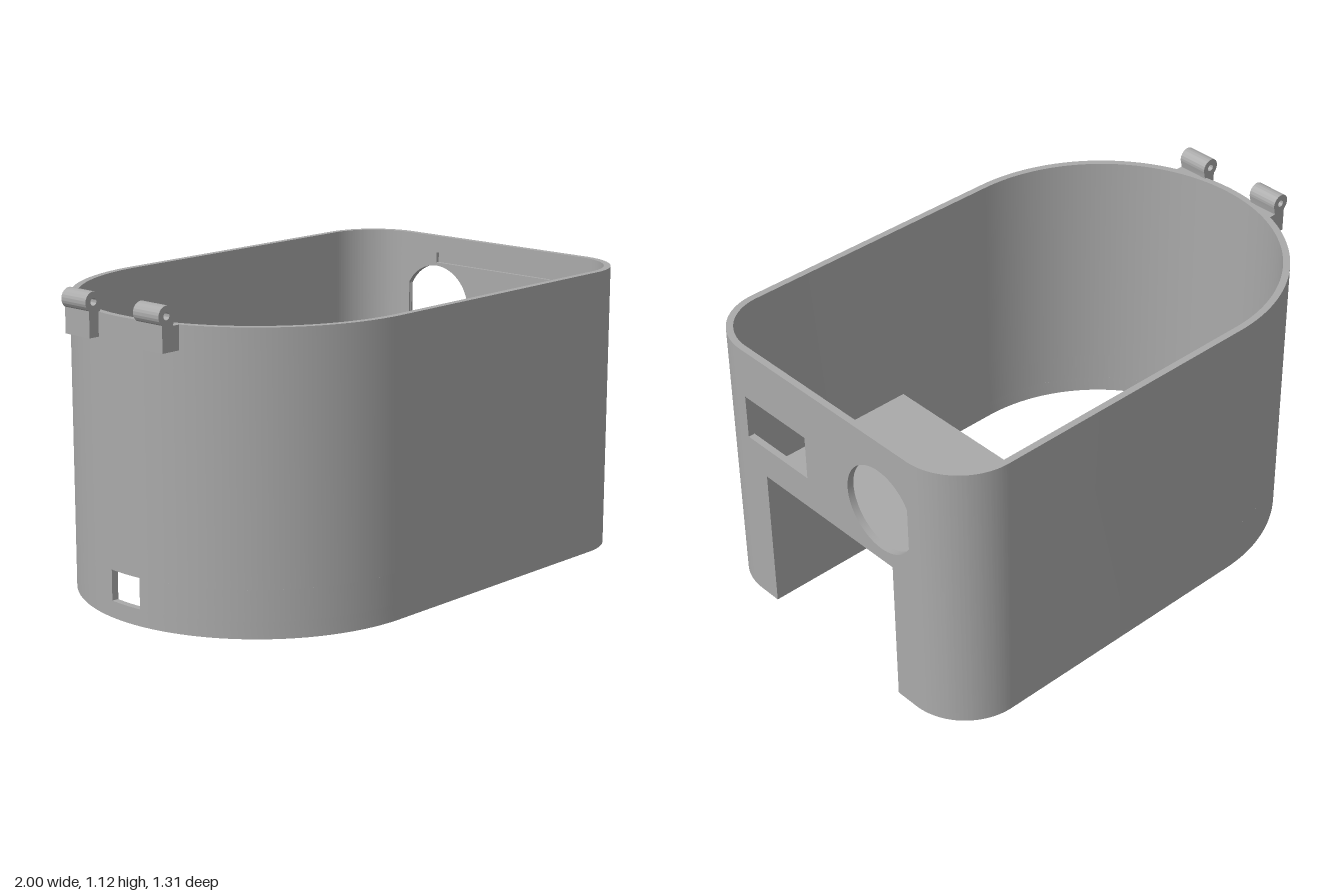
import * as THREE from 'three';
import { mergeGeometries, toCreasedNormals } from 'three/addons/utils/BufferGeometryUtils.js';

const PI = Math.PI;
const HEIGHT = 1.05, WALL = 0.025;
const CORNER = { x: 0.77, z: 0.425, r: 0.23 };
const END = { x: -0.3, r: 0.655 };
const WINDOW = { y0: 0.06, y1: 0.17, angle: 0.105 };

const grey = new THREE.MeshStandardMaterial({ color: 0xaaaaaa });
grey.name = 'grey plastic';

function part(name, geometry) {
  const mesh = new THREE.Mesh(geometry, grey);
  mesh.name = name;
  return mesh;
}

function rectPath(x0, y0, x1, y1, Type = THREE.Path) {
  const p = new Type();
  p.moveTo(x0, y0).lineTo(x1, y0).lineTo(x1, y1).lineTo(x0, y1).closePath();
  return p;
}

function extrude(shape, depth) {
  return new THREE.ExtrudeGeometry(shape, { depth, bevelEnabled: false, curveSegments: 48 });
}

// Plan of the curved wall: round corner, straight side, large rounded end
function wallPlan(endAngle, withSecondSide) {
  const s = new THREE.Shape();
  const { x, z, r } = CORNER;
  s.moveTo(x + r, z);
  s.absarc(x, z, r, 0, PI / 2, false);
  s.absarc(END.x, 0, END.r, PI / 2, endAngle, false);
  if (withSecondSide) {
    s.absarc(x, -z, r, -PI / 2, 0, false);
    s.absarc(x, -z, r - WALL, 0, -PI / 2, true);
  }
  s.absarc(END.x, 0, END.r - WALL, endAngle, PI / 2, true);
  s.absarc(x, z, r - WALL, PI / 2, 0, true);
  s.closePath();
  return s;
}

// Curved wall in three bands, leaving a small window at the rounded end
function curvedWall() {
  const band = (y0, y1) =>
    extrude(wallPlan(1.5 * PI, true), y1 - y0).rotateX(-PI / 2).translate(0, y0, 0);
  const half = () => extrude(wallPlan(PI - WINDOW.angle, false), WINDOW.y1 - WINDOW.y0);
  const geometry = mergeGeometries([
    band(0, WINDOW.y0),
    half().rotateX(-PI / 2).translate(0, WINDOW.y0, 0),
    half().rotateX(PI / 2).translate(0, WINDOW.y1, 0),
    band(WINDOW.y1, HEIGHT),
  ]);
  return toCreasedNormals(geometry, 0.5);
}

// Flat end panel, drawn with -z to the right, with doorway and cut-outs
function panelLayer(x0, x1, grooved) {
  const s = new THREE.Shape();
  s.moveTo(-0.425, 0).lineTo(-0.333, 0).lineTo(-0.333, 0.56).lineTo(0.333, 0.56);
  s.lineTo(0.333, 0).lineTo(0.425, 0).lineTo(0.425, HEIGHT).lineTo(-0.425, HEIGHT);
  s.closePath();
  s.holes.push(rectPath(-0.42, 0.685, -0.1, 0.855));
  s.holes.push(new THREE.Path().absarc(0.28, 0.77, 0.162, 0, 2 * PI, true));
  if (grooved) s.holes.push(rectPath(-0.28, 0.945, 0.28, 0.985));
  const geometry = extrude(s, x1 - x0).rotateY(PI / 2).translate(x0, 0, 0);
  return toCreasedNormals(geometry, 0.5);
}

function box(x0, x1, y0, y1, z0, z1) {
  return new THREE.BoxGeometry(x1 - x0, y1 - y0, z1 - z0)
    .translate((x0 + x1) / 2, (y0 + y1) / 2, (z0 + z1) / 2);
}

// Hinge: block against the wall with a pierced knuckle on top
function hinge(side) {
  const s = new THREE.Shape();
  const cx = -0.965, cy = 1.085, r = 0.035;
  s.moveTo(-0.985, 0.965).lineTo(-0.9, 0.965).lineTo(-0.9, HEIGHT).lineTo(-0.937, HEIGHT);
  s.lineTo(-0.932, 1.075);
  s.absarc(cx, cy, r, -0.29, PI + 0.96, false);
  s.closePath();
  s.holes.push(new THREE.Path().absarc(cx, cy, 0.013, 0, 2 * PI, true));
  const geometry = extrude(s, 0.12).translate(0, 0, side > 0 ? 0.115 : -0.235);
  // Slant the back of the block so it stays inside the curved wall
  const p = geometry.attributes.position;
  for (let i = 0; i < p.count; i++) {
    if (p.getX(i) > -0.91 && Math.abs(p.getZ(i)) < 0.17) p.setX(i, -0.935);
  }
  geometry.computeVertexNormals();
  return toCreasedNormals(geometry, 0.5);
}

export function createModel() {
  const model = new THREE.Group();
  model.name = 'enclosure';

  model.add(part('curvedWall', curvedWall()));
  model.add(part('endPanelInner', panelLayer(0.975, 0.988, true)));
  model.add(part('endPanelOuter', panelLayer(0.988, 1, false)));

  // Alcove behind the doorway, open below
  const alcove = new THREE.Group();
  alcove.name = 'alcove';
  alcove.add(part('alcoveRoof', box(0.36, 0.976, 0.56, 0.58, -0.355, 0.355)));
  for (const side of [-1, 1]) {
    alcove.add(part('alcoveSide', box(0.36, 0.976, 0, 0.56, side * 0.344 - 0.011, side * 0.344 + 0.011)));
  }
  const back = rectPath(-0.333, 0, 0.333, 0.56, THREE.Shape);
  back.holes.push(rectPath(-0.15, 0.3, 0.15, 0.515));
  alcove.add(part('alcoveBack', extrude(back, 0.022).rotateY(PI / 2).translate(0.36, 0, 0)));
  model.add(alcove);

  for (const side of [-1, 1]) model.add(part('hinge', hinge(side)));
  return model;
}
